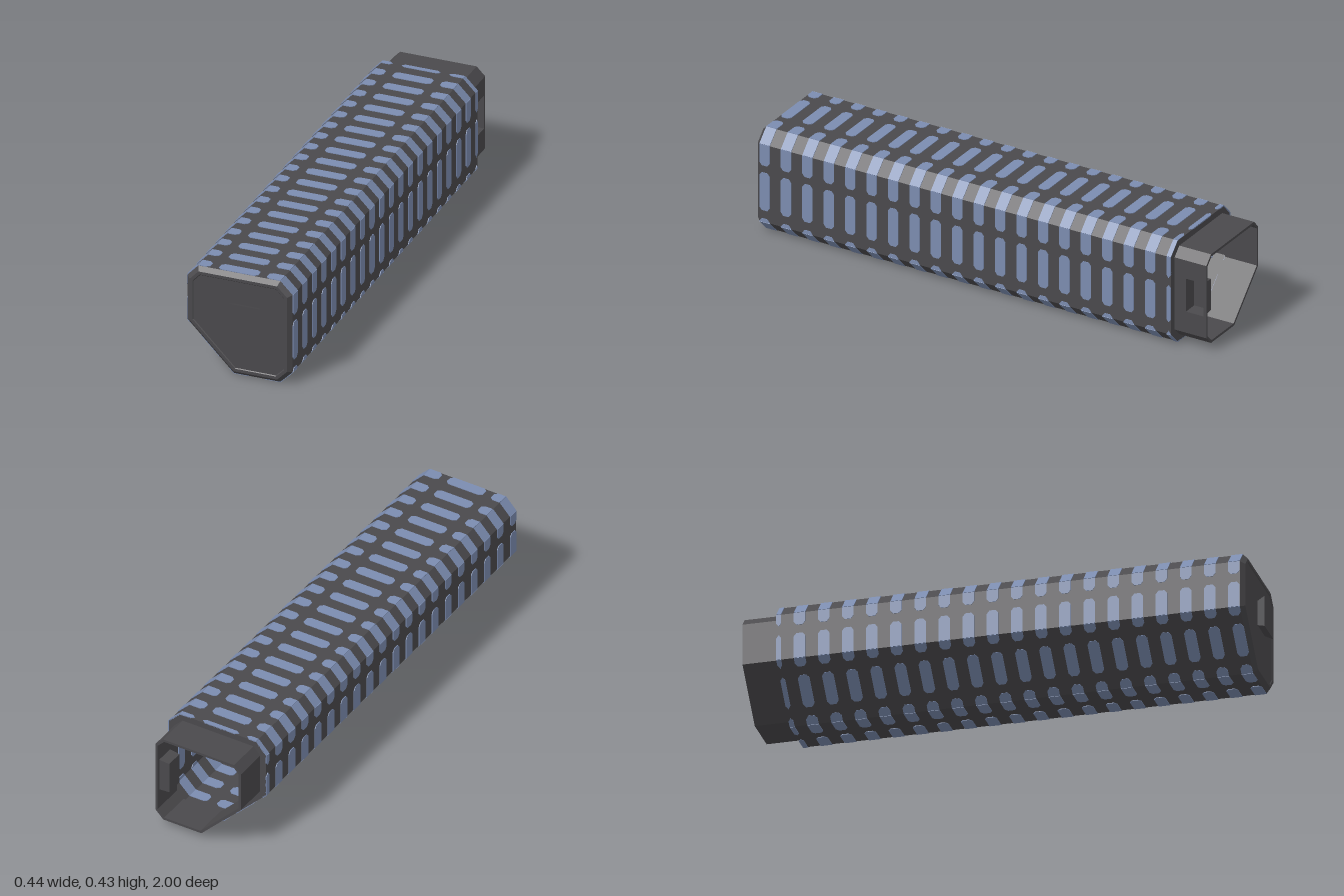
import * as THREE from 'three';
import { mergeGeometries } from 'three/addons/utils/BufferGeometryUtils.js';

// Cross-section of the housing, counter-clockwise seen from the front
const PROFILE = [
  [0.215, 0.05], [0.215, 0.378], [0.165, 0.428], [-0.17, 0.428],
  [-0.215, 0.38], [-0.215, 0.193], [-0.025, 0], [0.165, 0],
].map(([x, y]) => new THREE.Vector2(x, y));
const N = PROFILE.length;
const REAR = -0.86, SHOULDER = 0.955, FACE = 0.972;

// Painted slots on each face: [start, end] along the face, null = runs to its far edge
const SLOTS = [
  [[0, 0.015], [0.05, 0.21], [0.24, null]],
  [[0, null]],
  [[0, 0.06], [0.095, 0.255], [0.29, null]],
  [[0, null]],
  [[0, 0.05], [0.085, null]],
  [[0, 0.035], [0.07, 0.2], [0.235, null]],
  [[0, 0.075], [0.115, null]],
  [[0, null]],
];

// Profile moved inward by d, placed at depth z
function ring(d, z) {
  const normal = i => {
    const e = PROFILE[(i + 1) % N].clone().sub(PROFILE[i]).normalize();
    return new THREE.Vector2(e.y, -e.x);
  };
  return PROFILE.map((p, i) => {
    const a = normal((i + N - 1) % N), b = normal(i);
    const k = d / (1 + a.dot(b));
    return new THREE.Vector3(p.x - (a.x + b.x) * k, p.y - (a.y + b.y) * k, z);
  });
}

// Flat-sided skin through rings of points; optional closed end and omitted face
function loft(rings, { cap = false, skip = -1 } = {}) {
  const pts = [];
  for (let r = 0; r < rings.length - 1; r++) {
    const a = rings[r], b = rings[r + 1], n = a.length;
    for (let i = 0; i < n; i++) {
      if (i === skip) continue;
      const j = (i + 1) % n;
      pts.push(a[i], a[j], b[j], a[i], b[j], b[i]);
    }
  }
  if (cap) {
    const e = rings[rings.length - 1];
    for (let i = 1; i < e.length - 1; i++) pts.push(e[0], e[i], e[i + 1]);
  }
  const g = new THREE.BufferGeometry().setFromPoints(pts);
  g.computeVertexNormals();
  return g;
}

// Thin slot plate lying in one face, with tapered ends away from the face edges
function slotPlate(face, from, to, z0, z1) {
  const p = PROFILE[face], q = PROFILE[(face + 1) % N];
  const len = p.distanceTo(q), end = to ?? len;
  const u = q.clone().sub(p).normalize();
  const c = 0.013, s = from > 0 ? c : 0, e = to === null ? 0 : c;
  const shape = new THREE.Shape([
    [from + s, z0], [end - e, z0], [end, z0 + e * 0.8], [end, z1 - e * 0.8],
    [end - e, z1], [from + s, z1], [from, z1 - s * 0.8], [from, z0 + s * 0.8],
  ].map(([x, y]) => new THREE.Vector2(x, Math.max(z0, Math.min(z1, y)))));
  const g = new THREE.ExtrudeGeometry(shape, { depth: 0.005, bevelEnabled: false });
  g.translate(0, 0, -0.0025);
  const m = new THREE.Matrix4().makeBasis(
    new THREE.Vector3(u.x, u.y, 0), new THREE.Vector3(0, 0, 1), new THREE.Vector3(u.y, -u.x, 0));
  m.setPosition(p.x, p.y, 0);
  return g.applyMatrix4(m);
}

export function createModel() {
  const group = new THREE.Group();
  const dark = new THREE.MeshStandardMaterial({ color: 0x4a494c, side: THREE.DoubleSide });
  dark.name = 'darkGrey';
  const blue = new THREE.MeshStandardMaterial({ color: 0x7b8cb0 });
  blue.name = 'steelBlue';
  const add = (name, geometry, material) => {
    const mesh = new THREE.Mesh(geometry, material);
    mesh.name = name;
    group.add(mesh);
  };

  // Hollow housing with rear lip, bevelled front and shallow front panel
  add('housing', loft([
    ring(0.026, REAR), ring(0, REAR), ring(0, SHOULDER),
    ring(0.016, FACE), ring(0.028, FACE), ring(0.031, FACE - 0.003),
  ], { cap: true }), dark);

  // Rows of painted slots wrapped around the housing
  const plates = [];
  for (let k = 0; k < 20; k++) {
    const z = 0.932 - k * 0.0945;
    const z0 = Math.max(z - 0.0225, REAR), z1 = z + 0.0225;
    SLOTS.forEach((list, face) =>
      list.forEach(([from, to]) => plates.push(slotPlate(face, from, to, z0, z1))));
  }
  add('slots', mergeGeometries(plates), blue);

  // Flared knob on the front
  const square = (h, z) => [[1, -1], [1, 1], [-1, 1], [-1, -1]].map(
    ([sx, sy]) => new THREE.Vector3(0.0365 + sx * h, 0.2525 + sy * h, z));
  add('frontKnob', loft([square(0.05, FACE - 0.005), square(0.063, 1)], { cap: true }), dark);

  // Open rear collar; its left wall is made separately
  add('rearCollar', loft([
    ring(0.036, REAR), ring(0.036, -1), ring(0.026, -1), ring(0.026, REAR),
  ], { skip: 0 }), dark);

  // Left collar wall with a rectangular opening
  const corner = ring(0.026, 0);
  const y0 = corner[0].y, y1 = corner[1].y;
  const wall = new THREE.Shape([
    [-1, y0], [REAR, y0], [REAR, y1], [-1, y1],
  ].map(([z, y]) => new THREE.Vector2(-z, y)));
  wall.holes.push(new THREE.Path([
    [0.91, 0.15], [0.91, 0.29], [0.988, 0.29], [0.988, 0.15],
  ].map(([z, y]) => new THREE.Vector2(z, y))));
  const wallGeometry = new THREE.ExtrudeGeometry(wall, { depth: 0.01, bevelEnabled: false });
  wallGeometry.rotateY(Math.PI / 2).translate(0.179, 0, 0);
  add('collarWall', wallGeometry, dark);

  // Pocket sunk behind the opening
  const pocket = (x, s) => [[-0.91 - s, 0.15 + s], [-0.91 - s, 0.29 - s], [-0.988, 0.29 - s], [-0.988, 0.15 + s]]
    .map(([z, y]) => new THREE.Vector3(x, y, z));
  add('collarPocket', loft([pocket(0.185, 0), pocket(0.135, 0.004)], { cap: true }), dark);

  return group;
}
